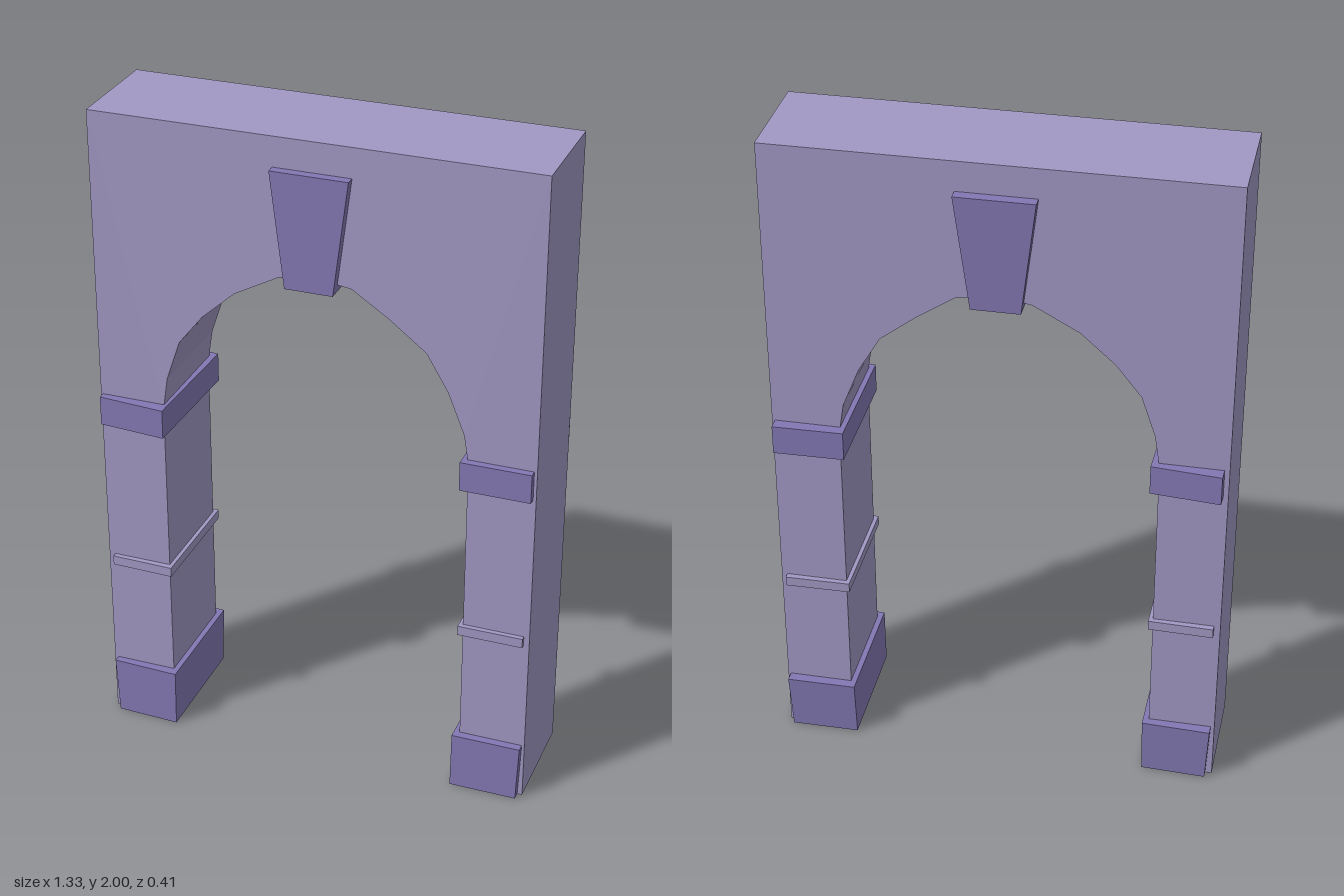
import * as THREE from 'three';

const stone = new THREE.MeshStandardMaterial({ color: 0xa198c3 });
stone.name = 'paleStone';
const trim = new THREE.MeshStandardMaterial({ color: 0x8378b3 });
trim.name = 'trimStone';

// Hand-cut block: [x at -x side, x at +x side] for top and bottom,
// depths at the -x and +x sides for front and back, and a lean of the back face.
function cutBlock(name, material, { y, top, bottom = top, front, back, skew = 0, backTaper = 0 }) {
  const geometry = new THREE.BoxGeometry(1, 1, 1).toNonIndexed();
  const p = geometry.attributes.position;
  for (let i = 0; i < p.count; i++) {
    const side = p.getX(i) > 0 ? 1 : 0;
    const up = p.getY(i) > 0;
    const isFront = p.getZ(i) > 0;
    const x = (up ? top : bottom)[side] + (isFront ? -skew : skew);
    const z = isFront ? front[side] : back[side] + (up ? 0 : backTaper);
    p.setXYZ(i, x, up ? y[1] : y[0], z);
  }
  geometry.computeVertexNormals();
  const mesh = new THREE.Mesh(geometry, material);
  mesh.name = name;
  return mesh;
}

export function createModel() {
  const group = new THREE.Group();
  group.name = 'stoneArch';

  // Wall with a faceted arched opening
  const outline = [
    [-0.667, 0], [-0.467, 0], [-0.467, 1.1], [-0.452, 1.2], [-0.41, 1.325], [-0.335, 1.42],
    [-0.235, 1.51], [-0.1, 1.583], [0, 1.6], [0.115, 1.583], [0.225, 1.51], [0.335, 1.425],
    [0.4, 1.315], [0.45, 1.19], [0.464, 1.1], [0.464, 0], [0.665, 0], [0.665, 2], [-0.667, 2],
  ];
  const shape = new THREE.Shape(outline.map(([x, y]) => new THREE.Vector2(x, y)));
  const wallGeometry = new THREE.ExtrudeGeometry(shape, { depth: 0.333, bevelEnabled: false });
  wallGeometry.translate(0, 0, -0.168);
  const wall = new THREE.Mesh(wallGeometry, stone);
  wall.name = 'archWall';
  group.add(wall);

  // Keystone running through the wall
  group.add(cutBlock('keystone', trim, {
    y: [1.565, 1.91], top: [-0.115, 0.115], bottom: [-0.073, 0.07],
    front: [0.193, 0.193], back: [-0.201, -0.201], backTaper: 0.008,
  }));

  // Slightly crooked capitals, bands and plinths on each pier
  group.add(
    cutBlock('rightCapital', trim, {
      y: [1.022, 1.113], top: [-0.656, -0.45], front: [0.187, 0.204], back: [-0.208, -0.19], skew: 0.005,
    }),
    cutBlock('leftCapital', trim, {
      y: [1.025, 1.115], top: [0.446, 0.656], front: [0.188, 0.188], back: [-0.201, -0.205],
    }),
    cutBlock('rightBand', stone, {
      y: [0.533, 0.563], top: [-0.648, -0.455], front: [0.18, 0.184], back: [-0.187, -0.183],
    }),
    cutBlock('leftBand', stone, {
      y: [0.535, 0.565], top: [0.452, 0.648], front: [0.18, 0.18], back: [-0.184, -0.187],
    }),
    cutBlock('rightPlinth', trim, {
      y: [0, 0.182], top: [-0.656, -0.45], bottom: [-0.647, -0.452],
      front: [0.187, 0.194], back: [-0.2, -0.193], backTaper: 0.01,
    }),
    cutBlock('leftPlinth', trim, {
      y: [0, 0.18], top: [0.447, 0.657], bottom: [0.445, 0.65],
      front: [0.19, 0.19], back: [-0.198, -0.2], backTaper: 0.01,
    }),
  );
  return group;
}
